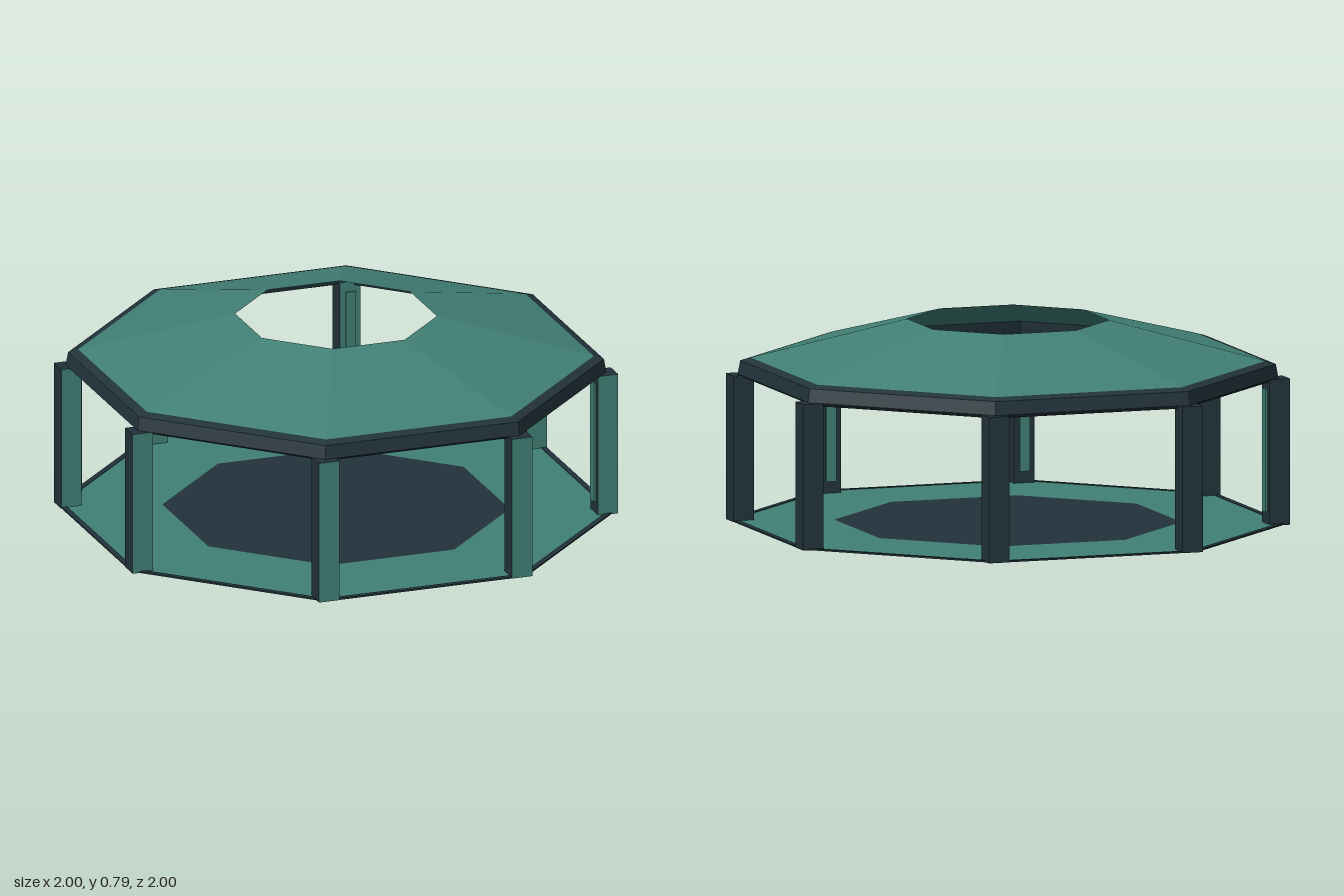
import * as THREE from 'three';

const green = new THREE.MeshStandardMaterial({ color: 0x418075, side: THREE.DoubleSide });
green.name = 'sea green';
const dark = new THREE.MeshStandardMaterial({ color: 0x22333b, side: THREE.DoubleSide });
dark.name = 'dark slate';

// Eight-sided faceted ring; profile points are [apothem, y], outer side going up
function octagon(name, profile, material) {
  const k = 1 / Math.cos(Math.PI / 8);
  const points = profile.map(([r, y]) => new THREE.Vector2(r * k, y));
  const geometry = new THREE.LatheGeometry(points, 8, Math.PI / 8).toNonIndexed();
  geometry.computeVertexNormals();
  const mesh = new THREE.Mesh(geometry, material);
  mesh.name = name;
  return mesh;
}

function box(name, size, position, material) {
  const mesh = new THREE.Mesh(new THREE.BoxGeometry(...size), material);
  mesh.position.set(...position);
  mesh.name = name;
  return mesh;
}

export function createModel() {
  const model = new THREE.Group();
  model.name = 'pavilion';

  // Floor: dark centre, green ring, thin dark border
  model.add(octagon('floorCentre', [[0.62, 0.004], [0, 0.004]], dark));
  model.add(octagon('floorRing', [[0.975, 0.004], [0.62, 0.004]], green));
  model.add(octagon('floorBorder',
    [[0.975, 0], [0.997, 0], [0.997, 0.006], [0.975, 0.006], [0.975, 0]], dark));

  // Roof: sloping panels round an open centre, with a dark fascia
  model.add(octagon('roofPanels', [[0.92, 0.635], [0.36, 0.79]], green));
  model.add(octagon('roofFascia',
    [[0.94, 0.555], [0.965, 0.57], [0.956, 0.623], [0.92, 0.635], [0.925, 0.61], [0.94, 0.555]], dark));

  // Posts at the eight corners: green front face, green inlay facing inwards
  const w = 0.084, h = 0.57, far = 0.957, near = 0.397;
  const faces = [dark, dark, dark, dark, green, dark];
  for (const sx of [-1, 1]) {
    for (const sz of [-1, 1]) {
      const inner = far - w / 2 - 0.004;
      model.add(box('sidePost', [w, h, w], [sx * far, h / 2, sz * near], faces));
      model.add(box('sidePostInlay', [0.009, 0.48, 0.04], [sx * inner, 0.29, sz * near], green));
      model.add(box('endPost', [w, h, w], [sx * near, h / 2, sz * far], faces));
      model.add(box('endPostInlay', [0.04, 0.48, 0.009], [sx * near, 0.29, sz * inner], green));
    }
  }
  return model;
}
